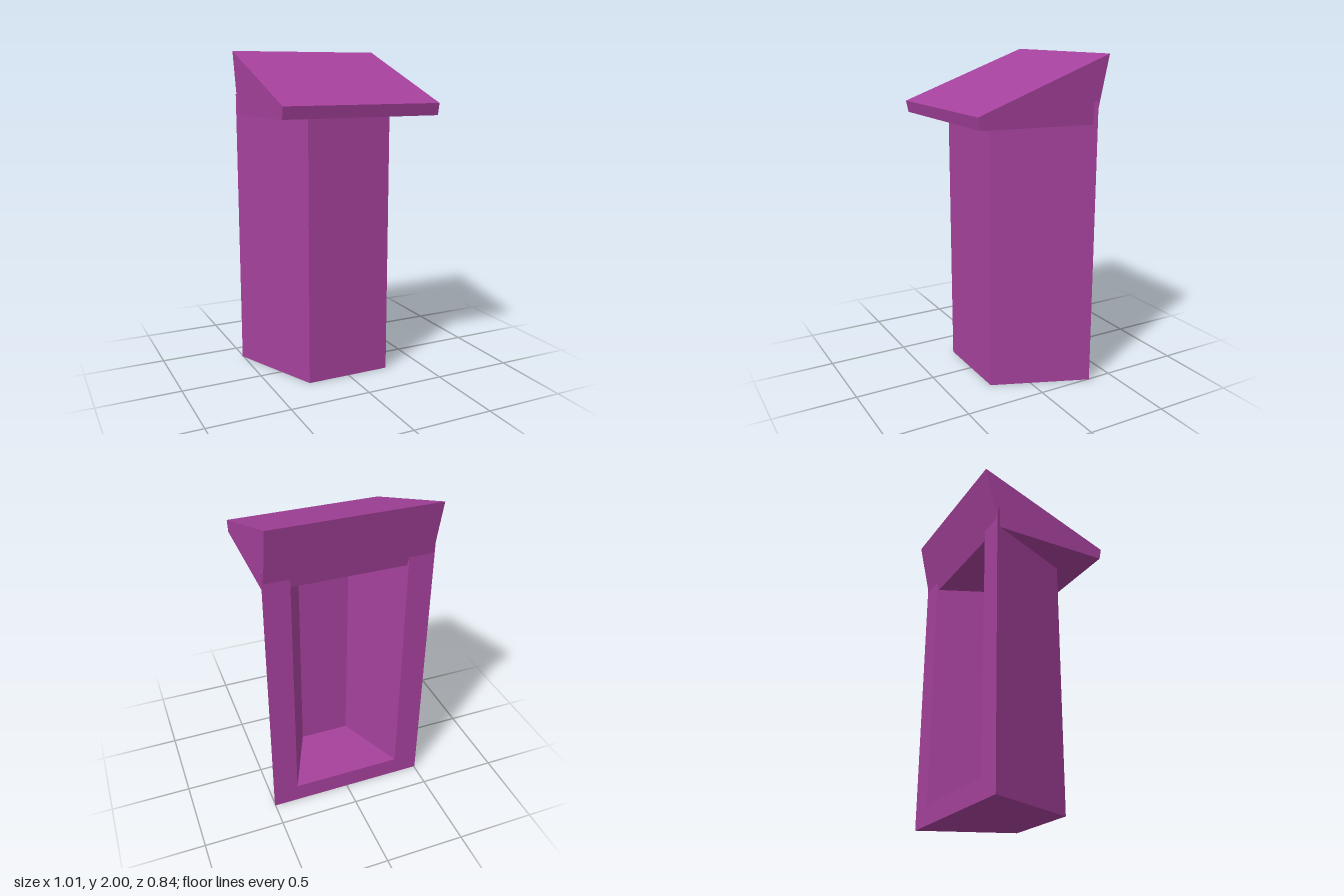
import * as THREE from 'three';

const shapeOf = (pts) => new THREE.Shape(pts.map(([a, b]) => new THREE.Vector2(a, b)));

// Upright prism from a plan outline of [x, z] points
function planPrism(plan, y0, y1) {
  const geo = new THREE.ExtrudeGeometry(shapeOf(plan.map(([x, z]) => [x, -z])), { depth: y1 - y0, bevelEnabled: false });
  return geo.rotateX(-Math.PI / 2).translate(0, y0, 0);
}

// Prism across the width from a side profile of [z, y] points
function sideProfile(profile, halfWidth) {
  const geo = new THREE.ExtrudeGeometry(shapeOf(profile), { depth: halfWidth * 2, bevelEnabled: false });
  return geo.rotateY(-Math.PI / 2).translate(halfWidth, 0, 0);
}

export function createModel() {
  const group = new THREE.Group();
  group.name = 'lectern';
  const purple = new THREE.MeshStandardMaterial({ color: 0xa5419b });
  purple.name = 'purple';
  const add = (name, geo) => {
    const mesh = new THREE.Mesh(geo, purple);
    mesh.name = name;
    group.add(mesh);
  };

  const back = -0.345, front = 0.23, floorTop = 0.12;
  const outer = [[0.505, back], [0.267, front], [-0.267, front], [-0.505, back]];
  const inner = [[-0.347, back], [-0.162, 0.086], [0.162, 0.086], [0.347, back]];

  // Tapered base, then walls around a cavity open at the back
  add('baseFloor', planPrism(outer, 0, floorTop));
  add('bodyWalls', planPrism([...outer, ...inner], floorTop, 1.735));

  // Sloping reading top, closing the cavity from above
  add('readingTop', sideProfile([
    [0.405, 1.62], [-0.333, 1.606], [-0.42, 2.0], [0.42, 1.692],
  ], 0.495));

  return group;
}
